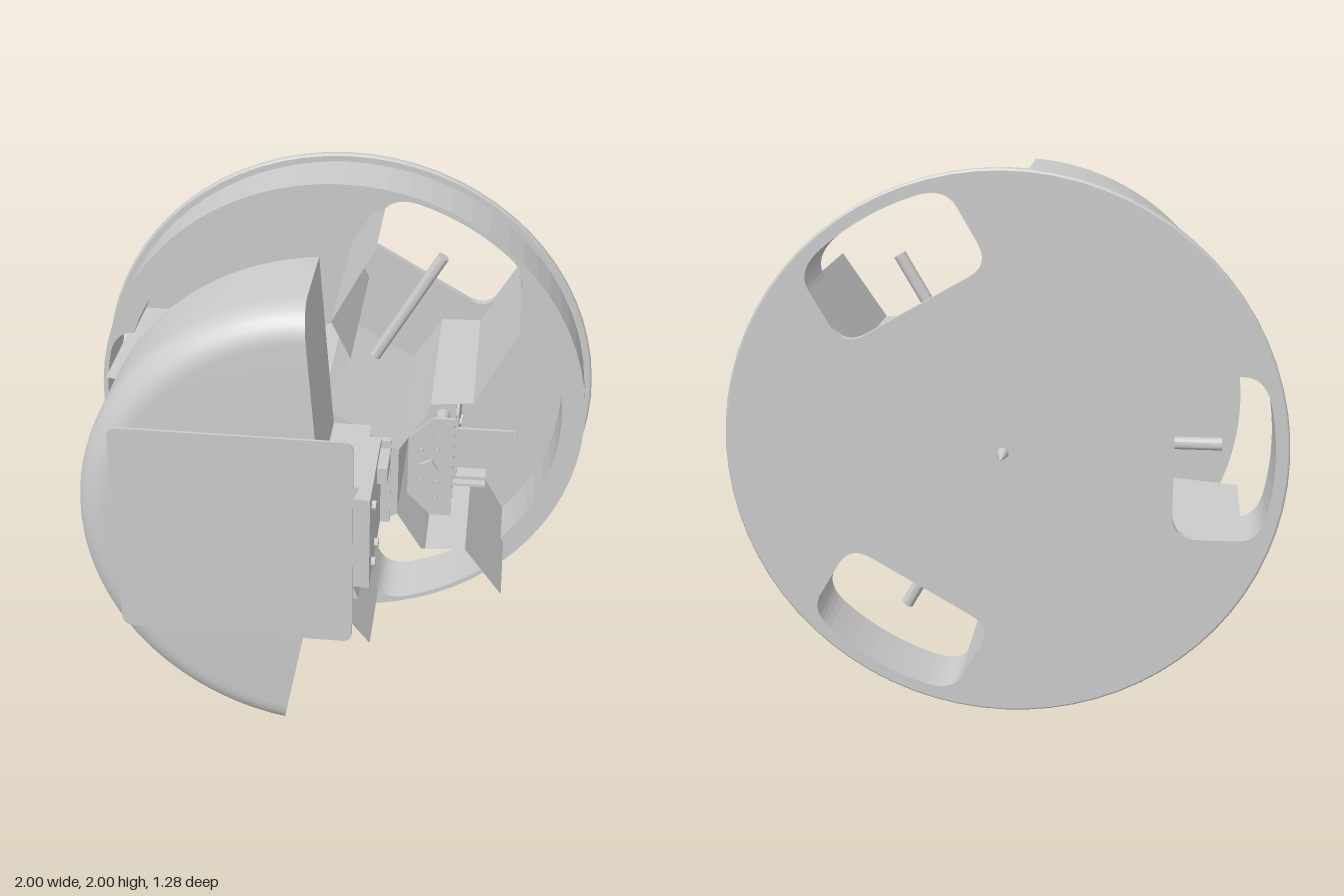
import * as THREE from 'three';
import { toCreasedNormals } from 'three/addons/utils/BufferGeometryUtils.js';

const mat = new THREE.MeshStandardMaterial({ color: 0xcccccc });
const thin = new THREE.MeshStandardMaterial({ color: 0xcccccc, side: THREE.DoubleSide });
const V = (x, y) => new THREE.Vector2(x, y);
const BAYS = [Math.PI / 3, Math.PI, -Math.PI / 3];
const FLOOR = -0.515;

export function createModel() {
  const root = new THREE.Group();
  const body = new THREE.Group();
  body.name = 'body';
  body.position.y = 1;
  root.add(body);

  const add = (name, geo, x = 0, y = 0, z = 0, m = mat, parent = body) => {
    const mesh = new THREE.Mesh(geo, m);
    mesh.name = name;
    mesh.position.set(x, y, z);
    parent.add(mesh);
    return mesh;
  };
  // box given by its limits
  const box = (name, x0, x1, y0, y1, z0, z1) =>
    add(name, new THREE.BoxGeometry(x1 - x0, y1 - y0, z1 - z0), (x0 + x1) / 2, (y0 + y1) / 2, (z0 + z1) / 2);
  // shape extruded along z
  const slab = (name, shape, z0, z1) =>
    add(name, new THREE.ExtrudeGeometry(shape, { depth: z1 - z0, bevelEnabled: false, curveSegments: 8 }), 0, 0, z0);
  const rod = (name, r, len, x, y, z, axis = 'z', sides = 16) => {
    const g = new THREE.CylinderGeometry(r, r, len, sides);
    if (axis === 'z') g.rotateX(Math.PI / 2);
    if (axis === 'x') g.rotateZ(Math.PI / 2);
    return add(name, toCreasedNormals(g, 0.6), x, y, z);
  };
  const circle = (r, n = 72) =>
    Array.from({ length: n }, (_, i) => V(r * Math.cos(i / n * 2 * Math.PI), r * Math.sin(i / n * 2 * Math.PI)));
  const turn = (pts, a) => pts.map(p => p.clone().rotateAround(V(0, 0), a));
  const roundRect = (x0, x1, y0, y1, r) => {
    const s = new THREE.Shape();
    s.absarc(x1 - r, y1 - r, r, 0, Math.PI / 2);
    s.absarc(x0 + r, y1 - r, r, Math.PI / 2, Math.PI);
    s.absarc(x0 + r, y0 + r, r, Math.PI, Math.PI * 1.5);
    s.absarc(x1 - r, y0 + r, r, Math.PI * 1.5, Math.PI * 2);
    return s;
  };

  // outer end of a wheel opening, pointing along +x
  const outerEnd = path => {
    const R = 0.95, a = 0.22, c = R * Math.cos(a), s = R * Math.sin(a);
    path.lineTo(0.83, -0.3);
    path.quadraticCurveTo(0.901, -0.3, c, -s);
    path.absarc(0, 0, R, -a, a, false);
    path.quadraticCurveTo(0.901, 0.3, 0.83, 0.3);
    return path;
  };
  const opening = new THREE.Path();
  opening.moveTo(0.69, -0.3);
  outerEnd(opening);
  opening.lineTo(0.69, 0.3);
  opening.quadraticCurveTo(0.6, 0.3, 0.6, 0.21);
  opening.lineTo(0.6, -0.21);
  opening.quadraticCurveTo(0.6, -0.3, 0.69, -0.3);
  const openingPts = opening.getPoints(8);

  // base disc with a softened rim and three openings
  const disc = new THREE.Shape(circle(0.992));
  BAYS.forEach(a => disc.holes.push(new THREE.Path(turn(openingPts, a))));
  slab('baseDisc', disc, -0.545, FLOOR);
  const rim = [[0.985, -0.545], [0.995, -0.543], [1, -0.537], [1, -0.523], [0.995, -0.517], [0.985, -0.515]];
  add('discRim', new THREE.LatheGeometry(rim.map(p => V(...p)), 72).rotateX(Math.PI / 2), 0, 0, 0, thin);

  // side wall, notched around the openings
  const notch = new THREE.Path();
  notch.moveTo(0.827, -0.3);
  outerEnd(notch);
  const half = Math.asin(0.3 / 0.88);
  const inner = [];
  [...BAYS].forEach(a => {
    inner.push(...turn(notch.getPoints(8), a));
    for (let i = 0; i <= 16; i++) {
      const t = a + half + (i / 16) * (Math.PI * 2 / 3 - 2 * half);
      inner.push(V(0.88 * Math.cos(t), 0.88 * Math.sin(t)));
    }
  });
  const ring = new THREE.Shape(circle(0.97));
  ring.holes.push(new THREE.Path(inner));
  slab('sideWall', ring, FLOOR, -0.29);

  // wheel bays: upright sheets along a stepped outline, [along, across, top]
  const halfBay = [[0.85, 0.3, 0.07], [0.55, 0.3, 0.145], [0.47, 0.17, 0.165], [0.44, 0.17, 0.2], [0.26, 0.165, 0.2]];
  const outline = [...halfBay.map(([u, v, t]) => [u, -v, t]), ...halfBay.slice().reverse()];
  const sheet = pts => {
    const pos = [];
    for (let i = 0; i < pts.length - 1; i++) {
      const [a, b, s] = pts[i], [c, d, t] = pts[i + 1];
      pos.push(a, b, FLOOR, c, d, FLOOR, c, d, t, a, b, FLOOR, c, d, t, a, b, s);
    }
    const g = new THREE.BufferGeometry();
    g.setAttribute('position', new THREE.Float32BufferAttribute(pos, 3));
    g.computeVertexNormals();
    return g;
  };
  const hub = [];
  BAYS.forEach(a => {
    const bay = new THREE.Group();
    bay.name = 'wheelBay';
    bay.rotation.z = a;
    body.add(bay);
    add('bayWall', sheet(outline), 0, 0, 0, thin, bay);
    const axle = rod('wheelAxle', 0.023, 0.51, 0.515, 0, -0.36, 'x');
    bay.add(axle);
    hub.push(...turn([V(0.26, -0.165), V(0.26, 0.165)], a));
  });
  // hub walls between the bays and its lid
  for (let i = 0; i < 3; i++) {
    const p = hub[2 * i + 1], q = hub[(2 * i + 2) % 6];
    add('hubWall', sheet([[p.x, p.y, 0.2], [q.x, q.y, 0.2]]), 0, 0, 0, thin);
  }
  slab('hubLid', new THREE.Shape(hub), 0.185, 0.2);

  // rounded cover: a lathed sector with flat ends
  const profile = [V(0, 0.2), V(0.905, 0.2)];
  for (let i = 0; i <= 8; i++) {
    const t = i / 8 * Math.PI / 2;
    profile.push(V(0.785 + 0.12 * Math.cos(t), 0.5 + 0.12 * Math.sin(t)));
  }
  profile.push(V(0, 0.62));
  const start = THREE.MathUtils.degToRad(94.4), sweep = THREE.MathUtils.degToRad(165);
  const cover = new THREE.LatheGeometry(profile, 48, start + Math.PI / 2, sweep).rotateX(Math.PI / 2);
  add('cover', toCreasedNormals(cover, 0.5), 0.05, 0, 0, thin);
  [start, start + sweep].forEach(a => {
    const g = new THREE.ShapeGeometry(new THREE.Shape(profile)).rotateX(Math.PI / 2).rotateZ(a);
    add('coverEnd', g, 0.05, 0, 0, thin);
  });

  // central housing with its side panel
  slab('housing', new THREE.Shape([V(-0.1, -0.24), V(0.17, -0.24), V(0.15, -0.185), V(0.19, -0.185),
    V(0.19, 0.19), V(0.15, 0.19), V(0.17, 0.24), V(-0.1, 0.24)]), 0.2, 0.615);
  box('sidePanel', 0.19, 0.208, -0.185, 0.19, 0.2, 0.62);
  box('connector', 0.208, 0.245, 0.095, 0.16, 0.225, 0.365);
  [[-0.125, 0.54], [-0.125, 0.42], [0.12, 0.54]].forEach(([y, z]) => rod('panelBolt', 0.018, 0.016, 0.215, y, z, 'x', 8));

  // front plate on a small board, with screws
  slab('frontPlate', roundRect(-0.7, 0.15, -0.42, 0.43, 0.035), 0.628, 0.638);
  box('plateSpacer', -0.08, 0.12, -0.07, 0.08, 0.61, 0.63);
  [[-0.43, 0.39], [-0.12, 0.39], [-0.43, -0.385], [-0.12, -0.385], [-0.05, 0.04], [-0.05, -0.03], [0.06, 0]]
    .forEach(([x, y]) => rod('plateScrew', 0.007, 0.004, x, y, 0.638, 'z', 8));

  // two clipped plates held apart by spacers
  const clipped = new THREE.Shape([V(0.3, -0.13), V(0.39, -0.22), V(0.47, -0.22), V(0.47, 0.21), V(0.39, 0.21), V(0.3, 0.12)]);
  slab('mechanismPlate', clipped, 0.064, 0.076);
  slab('mechanismPlate', clipped, -0.076, -0.064);
  [-0.145, 0.145].forEach(y => rod('spacer', 0.028, 0.13, 0.42, y, 0));
  rod('roller', 0.04, 0.11, 0.38, 0, 0);
  [[0.41, 0.14], [0.41, 0.07], [0.41, -0.07], [0.41, -0.14], [0.35, 0.07], [0.35, -0.07]]
    .forEach(([x, y]) => rod('mechanismScrew', 0.009, 0.008, x, y, 0.079, 'z', 8));
  const block = box('pivotBlock', 0.355, 0.405, -0.025, 0.025, 0.07, 0.09);
  block.rotation.z = 0.5;
  box('hubBracket', 0.205, 0.245, -0.18, 0.18, 0.18, 0.205);

  // rear bracket, tongue and lower tray
  box('bracket', 0.465, 0.48, -0.14, 0.145, FLOOR, -0.076);
  [-0.05, 0.05].forEach(y => [-0.18, -0.38].forEach(z => rod('bracketBolt', 0.012, 0.012, 0.484, y, z, 'x', 8)));
  slab('tongue', roundRect(0.46, 0.71, -0.09, 0.085, 0.025), -0.082, -0.07);
  box('trayBase', 0.38, 0.595, -0.24, -0.228, FLOOR, -0.165);
  box('traySide', 0.38, 0.42, -0.228, -0.15, -0.3, -0.18);
  box('trayTop', 0.38, 0.595, -0.165, -0.15, -0.27, -0.1);

  // point at the centre of the back
  add('backSpike', new THREE.ConeGeometry(0.022, 0.1, 16).rotateX(-Math.PI / 2), 0, 0, -0.59);
  return root;
}
